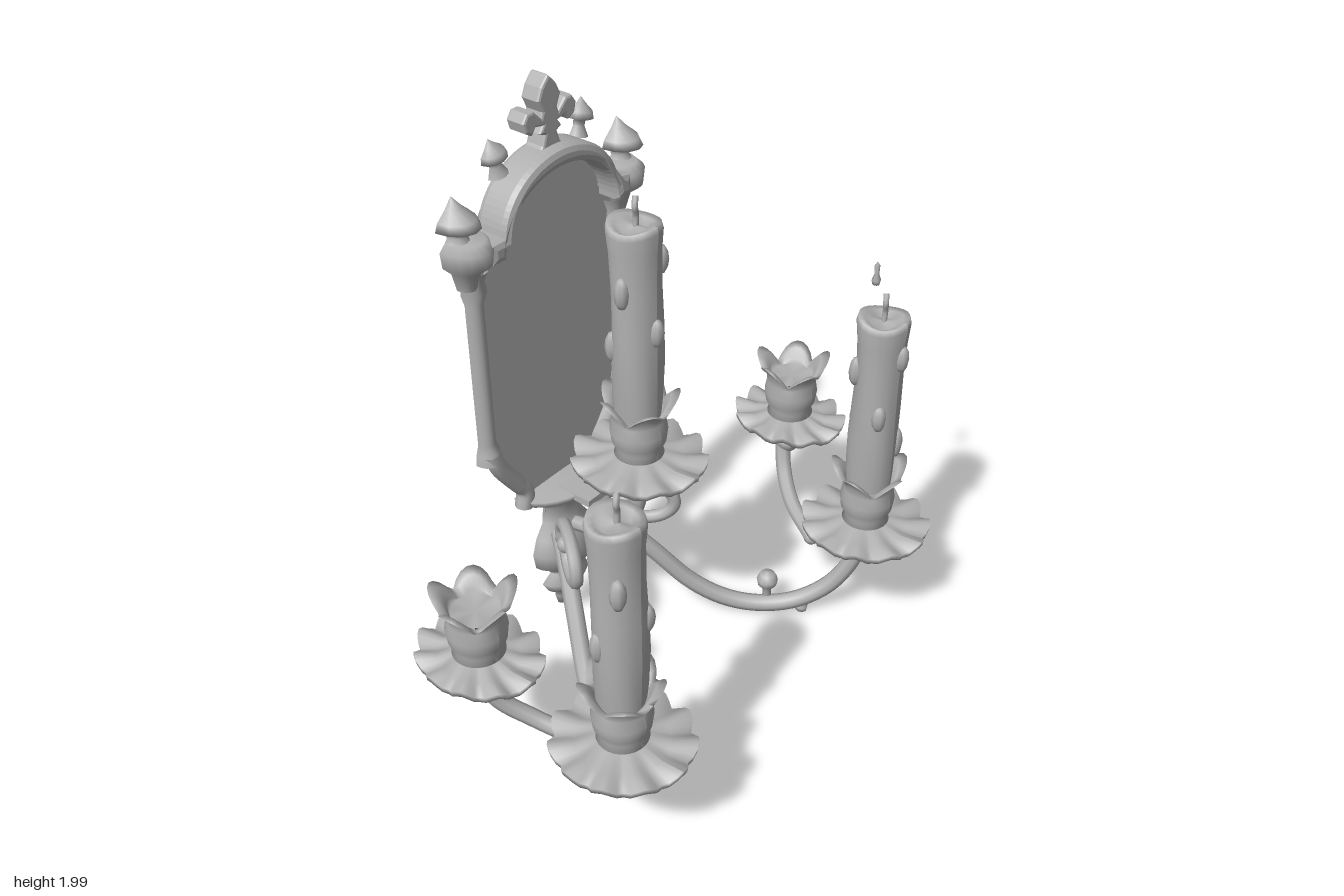
import * as THREE from 'three';

const pewter = new THREE.MeshStandardMaterial({ color: 0xb0b0b0, side: THREE.DoubleSide });
pewter.name = 'pewter grey';
const BACK = -0.51, CX = -0.008;
const v2 = (pts) => pts.map(([x, y]) => new THREE.Vector2(x, y));
const v3 = (pts) => pts.map(([x, y, z]) => new THREE.Vector3(x, y, z));

function add(parent, name, geo, x = 0, y = 0, z = 0) {
  const m = new THREE.Mesh(geo, pewter);
  m.name = name;
  m.position.set(x, y, z);
  parent.add(m);
  return m;
}
const tube = (pts, r, n = 28) =>
  new THREE.TubeGeometry(new THREE.CatmullRomCurve3(v3(pts)), n, r, 8);
// Half-round turning that sits flat against the wall
const halfLathe = (pts, n = 10) => new THREE.LatheGeometry(v2(pts), n, -Math.PI / 2, Math.PI);
const slab = (shape, depth, bevel) => new THREE.ExtrudeGeometry(shape, {
  depth: depth - bevel, bevelEnabled: bevel > 0, bevelThickness: bevel, bevelSize: bevel,
  bevelOffset: -bevel, bevelSegments: 2, curveSegments: 16,
});
// Mirrored outline from its right half
const mirrored = (pts) => new THREE.Shape(v2([...pts, ...pts.slice().reverse().map(([x, y]) => [-x, y])]));

// Move each vertex by a rule in polar form: fn(radius, y, angle) -> [radius, y]
function warp(geo, fn) {
  const p = geo.attributes.position;
  for (let i = 0; i < p.count; i++) {
    const x = p.getX(i), z = p.getZ(i), a = Math.atan2(x, z);
    const [r, y] = fn(Math.hypot(x, z), p.getY(i), a);
    p.setXYZ(i, r * Math.sin(a), y, r * Math.cos(a));
  }
  geo.computeVertexNormals();
  return geo;
}

// Scalloped drip dish with the turned collar under it
function addDish(g, rx, rz) {
  const geo = new THREE.LatheGeometry(v2([[0, -0.05], [0.05, -0.045], [0.13, -0.025], [0.21, 0.0],
    [0.213, 0.02], [0.14, 0.015], [0.08, 0.03], [0, 0.035]]), 66);
  warp(geo, (r, y, a) => {
    const k = Math.max(0, (r - 0.1) / 0.11);
    return [r * (1 - 0.1 * k * (1 - Math.abs(Math.cos(a * 5.5))) + 0.03 * k * Math.sin(2 * a + 1)),
      y + 0.014 * k * Math.cos(11 * a) - 0.008 * k];
  });
  add(g, 'dripDish', geo).scale.set(rx, 1, rz);
  add(g, 'dishCollar', new THREE.LatheGeometry(v2([[0.028, -0.13], [0.042, -0.11], [0.045, -0.09],
    [0.03, -0.075], [0.04, -0.05], [0.07, -0.035]]), 14));
}

// Tulip cup with pointed petals, closed inside
function addCup(g, turn) {
  const geo = new THREE.LatheGeometry(v2([[0.06, 0.02], [0.078, 0.03], [0.07, 0.05], [0.085, 0.08],
    [0.09, 0.12], [0.083, 0.16], [0.088, 0.195], [0.105, 0.225], [0.128, 0.245],
    [0.1, 0.232], [0.078, 0.195], [0.07, 0.175], [0, 0.175]]), 40);
  warp(geo, (r, y, a) => {
    const k = Math.max(0, (y - 0.16) / 0.085) * (r > 0.072 ? 1 : 0);
    const valley = 1 - Math.abs(Math.cos(2.5 * a + turn));
    return [r * (1 - 0.22 * k * valley), y - 0.06 * k * valley + 0.012 * k * Math.sin(a * 2)];
  });
  add(g, 'petalCup', geo);
}

// Candle with uneven wax, runs of wax and a bent wick
function addCandle(g, top, seed) {
  const geo = new THREE.LatheGeometry(v2([[0.07, 0.15], [0.077, 0.24], [0.08, top * 0.45], [0.077, top * 0.6],
    [0.074, top * 0.75], [0.077, top * 0.9], [0.083, top - 0.02], [0.078, top], [0.06, top - 0.005],
    [0.04, top - 0.02], [0, top - 0.02]]), 20);
  warp(geo, (r, y, a) => [r * (1 + 0.04 * Math.sin(3 * a + y * 9 + seed)),
    y > top - 0.03 ? y + 0.01 * Math.sin(2 * a + seed) : y]);
  add(g, 'candle', geo);
  for (let i = 0; i < 6; i++) {
    const a = seed + i * 2.4, y = top * (0.42 + 0.085 * i);
    const drip = add(g, 'waxDrip', new THREE.SphereGeometry(0.024, 8, 6),
      0.073 * Math.sin(a), y, 0.073 * Math.cos(a));
    drip.scale.set(1, 2.4 - 0.2 * (i % 3), 1);
  }
  add(g, 'wick', tube([[0, top - 0.03, 0], [0.004, top + 0.02, 0], [-0.006, top + 0.05, 0.005],
    [0.008, top + 0.075, -0.004]], 0.009, 8));
}

function holder(parent, name, x, y, z, { candle = 0, rx = 1, rz = 1, seed = 0 }) {
  const g = new THREE.Group();
  g.name = name;
  g.position.set(x, y, z);
  addDish(g, rx, rz);
  addCup(g, seed);
  if (candle) addCandle(g, candle, seed);
  parent.add(g);
}

function buildBackplate(root) {
  const g = new THREE.Group();
  g.name = 'backplate';
  g.position.set(CX, 0, BACK);
  root.add(g);

  // Flat pane with arched top and tapered foot
  const pane = new THREE.Shape(v2([[-0.17, 0.62], [0.17, 0.62], [0.3, 0.86], [0.3, 1.56], [0.23, 1.58]]));
  pane.absellipse(0, 1.56, 0.23, 0.2, 0, Math.PI, false);
  pane.lineTo(-0.3, 1.56);
  pane.lineTo(-0.3, 0.86);
  add(g, 'pane', slab(pane, 0.018, 0));

  // Arched hood
  const arch = new THREE.Shape();
  arch.moveTo(0.3, 1.54);
  arch.lineTo(0.3, 1.61);
  arch.lineTo(0.245, 1.62);
  arch.absellipse(0, 1.59, 0.245, 0.205, 0.1, Math.PI - 0.1, false);
  arch.lineTo(-0.3, 1.61);
  arch.lineTo(-0.3, 1.54);
  arch.lineTo(-0.235, 1.54);
  arch.absellipse(0, 1.54, 0.235, 0.195, Math.PI, 0, true);
  add(g, 'archHood', slab(arch, 0.1, 0.022));

  for (const s of [1, -1]) {
    // Side column, capital and spade finial
    add(g, 'column', halfLathe([[0.045, 0.84], [0.04, 0.88], [0.03, 0.91], [0.03, 1.4], [0.042, 1.44],
      [0.036, 1.47], [0.05, 1.51]]), s * 0.3).scale.z = 1.2;
    add(g, 'capital', halfLathe([[0.03, 1.46], [0.045, 1.52], [0.075, 1.55], [0.08, 1.6],
      [0.06, 1.62], [0, 1.625]]), s * 0.322).scale.z = 1.35;
    add(g, 'spadeFinial', halfLathe([[0.045, 1.61], [0.028, 1.635], [0.035, 1.66], [0.068, 1.665],
      [0.058, 1.69], [0.025, 1.72], [0, 1.75]], 6), s * 0.342).scale.z = 1.3;
    // Tapered lower rail
    const rail = add(g, 'lowerRail', tube([[s * 0.305, 0.88, 0.022], [s * 0.285, 0.82, 0.022],
      [s * 0.21, 0.71, 0.022], [s * 0.175, 0.66, 0.022], [s * 0.185, 0.6, 0.022]], 0.03, 16));
    rail.position.z = 0.006;
    // Small bud on the shoulder of the arch
    const bud = add(g, 'archBud', halfLathe([[0.035, 0], [0.02, 0.03], [0.022, 0.05], [0.045, 0.055],
      [0.04, 0.075], [0.018, 0.095], [0, 0.115]], 6), s * 0.165, 1.75);
    bud.rotation.z = -s * 0.22;
  }

  // Three-leaf crest
  const crest = mirrored([[0.06, 1.77], [0.035, 1.8], [0.025, 1.83], [0.045, 1.84], [0.03, 1.86], [0.06, 1.865],
    [0.075, 1.845], [0.1, 1.86], [0.108, 1.89], [0.09, 1.915], [0.065, 1.915], [0.035, 1.885],
    [0.03, 1.9], [0.046, 1.935], [0.03, 1.97], [0.002, 2.0]]);
  add(g, 'crest', slab(crest, 0.06, 0.008));

  // Foot: waist and drop pendant
  add(g, 'pendant', halfLathe([[0, 0.05], [0.03, 0.06], [0.042, 0.1], [0.04, 0.12], [0.075, 0.145],
    [0.1, 0.19], [0.06, 0.215], [0.075, 0.24], [0.125, 0.28], [0.135, 0.34], [0.115, 0.4],
    [0.08, 0.45], [0.075, 0.51], [0.11, 0.56], [0.19, 0.6], [0.2, 0.625], [0, 0.63]], 14)).scale.z = 0.75;
  add(g, 'pendantBack', new THREE.BoxGeometry(0.15, 0.28, 0.01), 0, 0.42, 0.005);
  add(g, 'bracket', new THREE.BoxGeometry(0.13, 0.025, 0.2), 0, 0.615, 0.1);
}

// Side arm: everything lies in one upright plane, s running outwards
function buildSideArm(root, side) {
  const g = new THREE.Group();
  g.name = side > 0 ? 'leftArm' : 'rightArm';
  root.add(g);
  const at = (s, y) => [side * (0.05 + 0.575 * s), y, -0.48 + 0.78 * s];
  add(g, 'arm', tube([[0.04, 0.43], [0.14, 0.38], [0.26, 0.27], [0.4, 0.13], [0.52, 0.06], [0.64, 0.036],
    [0.77, 0.055], [0.89, 0.13], [0.97, 0.25], [1, 0.36]].map(([s, y]) => at(s, y)), 0.03, 40));

  // Scroll curling outwards and in on itself
  const curl = [at(0.08, 0.42)];
  for (let i = 0; i <= 18; i++) {
    const t = i / 18, a = Math.PI * (1.05 - 2.05 * t), r = 0.105 - 0.055 * t * t;
    curl.push(at(0.225 + r * 1.25 * Math.cos(a), 0.475 + r * 0.85 * Math.sin(a)));
  }
  add(g, 'scroll', tube(curl, 0.023, 48));
  add(g, 'scrollTip', new THREE.SphereGeometry(0.03, 10, 8), ...curl[curl.length - 1]);

  // Knob above and pin below the arm
  add(g, 'knob', new THREE.LatheGeometry(v2([[0.016, 0.05], [0.014, 0.09], [0.034, 0.115], [0.037, 0.135],
    [0.026, 0.158], [0, 0.166]]), 12), side * 0.45, 0, 0.035);
  const pin = at(0.8, 0);
  add(g, 'pin', new THREE.LatheGeometry(v2([[0, 0.008], [0.02, 0.014], [0.022, 0.03], [0.012, 0.045],
    [0.012, 0.08]]), 8), ...pin);

  // Branch carrying the empty cup
  add(g, 'branch', tube([[0.76, 0.56, -0.115], [0.755, 0.5, -0.13], [0.72, 0.395, -0.1],
    [0.66, 0.32, -0.02], [0.6, 0.265, 0.11]].map(([x, y, z]) => [side * x, y, z]), 0.027));
  add(g, 'branchEnd', new THREE.SphereGeometry(0.028, 8, 6), side * 0.6, 0.265, 0.11);

  holder(g, 'frontHolder', side * 0.625, 0.41, 0.3, { candle: 0.81, seed: side > 0 ? 0.6 : 2.1 });
  holder(g, 'emptyHolder', side * 0.76, 0.59, -0.115, { rx: 0.8, rz: 0.93, seed: side > 0 ? 1.2 : 0.3 });
}

export function createModel() {
  const root = new THREE.Group();
  root.name = 'wallCandelabra';
  buildBackplate(root);
  for (const side of [1, -1]) buildSideArm(root, side);

  // Centre arm and candle
  add(root, 'centreArm', tube([[0, 0.43, -0.44], [0.005, 0.45, -0.34], [0.01, 0.53, -0.23],
    [0.01, 0.64, -0.175], [0.01, 0.76, -0.165]], 0.026));
  holder(root, 'centreHolder', 0.01, 0.82, -0.165, { candle: 0.82, seed: 1.5 });

  // Falling wax drop
  add(root, 'waxDrop', new THREE.LatheGeometry(v2([[0, 1.245], [0.012, 1.25], [0.015, 1.265],
    [0.008, 1.285], [0.009, 1.315], [0, 1.33]]), 8), 0.73, 0, 0.2);
  return root;
}
